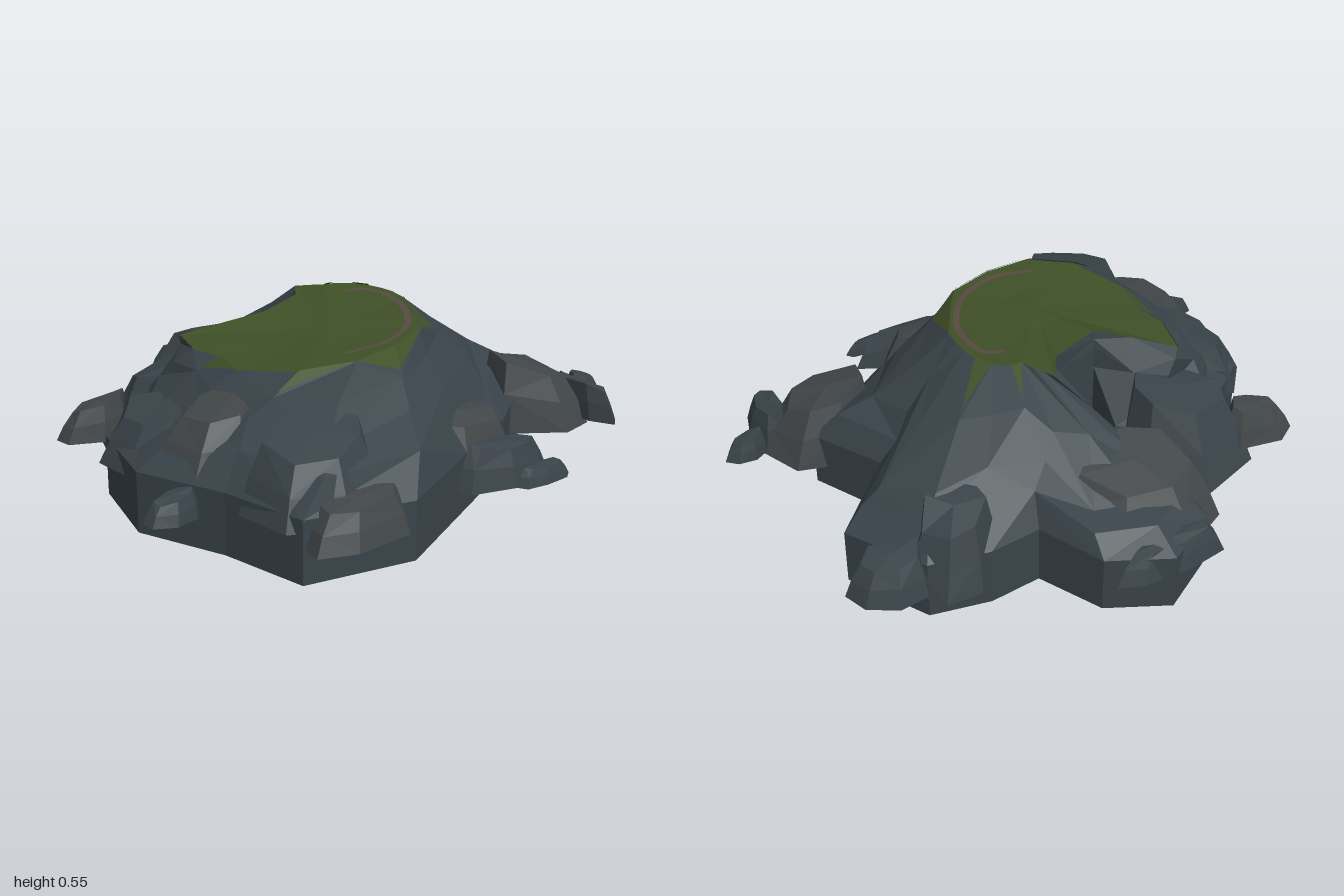
import * as THREE from 'three';

const mat = (color) => new THREE.MeshStandardMaterial({ color, flatShading: true, roughness: 1 });
const V = (x, y, z) => new THREE.Vector3(x, y, z);

// Small seeded noise in -1..1
function seeded(seed) {
  let s = seed;
  return () => {
    s = (s * 16807) % 2147483647;
    return (s / 2147483647) * 2 - 1;
  };
}

// Matching loops of x, z, height: shore cliff, shoulder and plateau rim
const CLIFF = [
  0, -0.2, 0.3, -0.1, -0.33, 0.22, -0.28, -0.5, 0.2, -0.2, -0.8, 0.19, 0, -0.92, 0.19, 0.2, -0.82, 0.19,
  0.3, -0.6, 0.2, 0.48, -0.62, 0.2, 0.68, -0.58, 0.2, 0.83, -0.3, 0.19, 0.58, -0.03, 0.2, 0.71, 0.24, 0.19,
  0.34, 0.52, 0.19, 0.02, 0.68, 0.19, -0.36, 0.87, 0.19, -0.72, 0.8, 0.2, -0.78, 0.5, 0.2, -0.9, 0.2, 0.2,
  -0.82, -0.13, 0.2, -0.55, -0.33, 0.2, -0.3, -0.3, 0.2, -0.2, -0.27, 0.22, -0.2, -0.12, 0.3,
];
const SHOULDER = [
  0, -0.2, 0.46, -0.02, -0.33, 0.37, -0.13, -0.52, 0.3, -0.13, -0.66, 0.27, 0, -0.72, 0.27, 0.15, -0.68, 0.27,
  0.22, -0.5, 0.37, 0.4, -0.45, 0.38, 0.58, -0.45, 0.35, 0.7, -0.29, 0.31, 0.47, -0.03, 0.37, 0.52, 0.14, 0.35,
  0.33, 0.34, 0.37, 0.04, 0.54, 0.37, -0.2, 0.65, 0.37, -0.55, 0.7, 0.33, -0.63, 0.41, 0.37, -0.68, 0.2, 0.34,
  -0.66, 0, 0.33, -0.57, -0.2, 0.34, -0.41, -0.27, 0.36, -0.3, -0.22, 0.38, -0.2, -0.12, 0.46,
];
const RIM = [
  0, -0.2, 0.53, 0.04, -0.26, 0.53, 0.07, -0.3, 0.53, 0.09, -0.27, 0.535, 0.11, -0.24, 0.54, 0.13, -0.2, 0.545,
  0.17, -0.2, 0.545, 0.22, -0.16, 0.545, 0.25, -0.1, 0.545, 0.26, -0.04, 0.545, 0.26, 0.02, 0.545, 0.25, 0.09, 0.54,
  0.15, 0.27, 0.53, 0.08, 0.38, 0.52, -0.1, 0.46, 0.51, -0.28, 0.49, 0.5, -0.44, 0.41, 0.48, -0.53, 0.2, 0.45,
  -0.49, 0.05, 0.45, -0.51, -0.08, 0.45, -0.46, -0.25, 0.45, -0.32, -0.17, 0.49, -0.2, -0.11, 0.52,
];
const loop = (a) => Array.from({ length: a.length / 3 }, (_, i) => V(a[i * 3], a[i * 3 + 2], a[i * 3 + 1]));

function faceted(points) {
  const g = new THREE.BufferGeometry().setFromPoints(points);
  g.computeVertexNormals();
  return g;
}

// Skin a stack of loops, lowest and outermost first; diagonals alternate
function skin(rings, extra = []) {
  const pts = [];
  for (let r = 0; r < rings.length - 1; r++) {
    const lo = rings[r], hi = rings[r + 1], n = lo.length;
    for (let i = 0; i < n; i++) {
      const j = (i + 1) % n;
      if ((i + r) % 2) pts.push(lo[i], hi[i], lo[j], hi[i], hi[j], lo[j]);
      else pts.push(lo[i], hi[i], hi[j], lo[i], hi[j], lo[j]);
    }
  }
  return faceted([...pts, ...extra]);
}

// Fill a loop with triangles facing down
function underside(ring) {
  const flat = ring.map((p) => new THREE.Vector2(p.x, p.z));
  return THREE.ShapeUtils.triangulateShape(flat, []).flatMap((f) => {
    const [a, b, c] = f.map((k) => ring[k]);
    const up = b.clone().sub(a).cross(c.clone().sub(a)).y > 0;
    return up ? [a, c, b] : [a, b, c];
  });
}

// Faceted boulder: flared foot, top leaning and rising towards the island's middle
function boulder([x, z, rx, rz, y0, y1, turn = 0], index) {
  const rnd = seeded(911 + index * 577), n = 7;
  for (let i = 0; i < 5; i++) rnd();
  const jit = Array.from({ length: n }, () => [1.04 + rnd() * 0.08, rnd() * 0.25]);
  const c = Math.cos(turn), s = Math.sin(turn);
  const inward = V(-0.1 - x, 0, 0.1 - z).normalize();
  const lean = Math.min(rx, rz) * 0.2, size = Math.max(rx, rz);
  const ring = (scale, t) => jit.map(([k, shift], i) => {
    const a = ((i + shift) / n) * Math.PI * 2;
    const px = Math.cos(a) * rx * scale * k, pz = Math.sin(a) * rz * scale * k;
    const dx = px * c - pz * s, dz = px * s + pz * c;
    const rise = (inward.x * dx + inward.z * dz) / size;
    const h = y0 + (y1 - y0) * t * (1 + 0.3 * rise + 0.06 * rnd());
    return V(x + dx + inward.x * lean * t, h, z + dz + inward.z * lean * t);
  });
  const foot = ring(1, 0), cap = ring(0.68, 0.94);
  const top = V(x + inward.x * lean, y0 + (y1 - y0) * 0.97, z + inward.z * lean);
  return skin([foot, ring(0.87, 0.5), cap, cap.map(() => top)], underside(foot));
}

export function createModel() {
  const group = new THREE.Group();
  const add = (name, geometry, material, parent = group) => {
    const m = new THREE.Mesh(geometry, material);
    m.name = name;
    parent.add(m);
    return m;
  };
  const stone = mat(0x394349), paleStone = mat(0x414648), grass = mat(0x3f5027), earth = mat(0x584a40);
  earth.side = THREE.DoubleSide;

  // Island body with craggy slopes below and above the shoulder
  const cliff = loop(CLIFF), shoulder = loop(SHOULDER), rim = loop(RIM);
  const foot = cliff.map((p) => V(p.x, 0, p.z));
  const rnd = seeded(4242);
  const between = (lower, upper, rough, lift) => lower.map((p, i) => {
    const q = p.clone().lerp(upper[i], 0.5);
    const notch = i < 2 || i > 20;
    return notch ? q : q.add(V(rnd() * rough, lift + rnd() * rough, rnd() * rough));
  });
  const slope = between(cliff, shoulder, 0.022, 0.008);
  const crag = between(shoulder, rim, 0.018, 0.006);
  add('islandRock', skin([foot, cliff, slope, shoulder, crag, rim], underside(foot)), stone);

  // Grassy plateau, slightly sunk in the middle
  const mid = V(-0.12, 0.51, 0.15);
  const inset = (t, drop) => rim.map((p) => {
    const q = p.clone().lerp(mid, t);
    q.y -= drop;
    return q;
  });
  const meadow = add('grassPlateau', skin([rim, inset(0.25, 0.003), inset(0.6, 0.006), rim.map(() => mid)]), grass);

  // Ragged grass tongues lying on the crags just below the rim
  const lift = V(0, 0.004, 0);
  const tongues = [5, 7, 11, 12, 13, 14, 15, 17, 19].flatMap((i) => {
    const a = rim[i], b = rim[i + 1];
    const tip = i % 2 ? b.clone().lerp(crag[i + 1], 0.8) : a.clone().lerp(crag[i], 0.8);
    return [a, b, tip].map((p) => p.clone().add(lift));
  });
  const tongueMaterial = grass.clone();
  tongueMaterial.side = THREE.DoubleSide;
  add('grassTongues', faceted(tongues), tongueMaterial);

  // Footpath ribbon laid on the plateau
  const route = new THREE.CatmullRomCurve3([
    V(0.14, 0, -0.1), V(0.2, 0, -0.08), V(0.22, 0, 0.03), V(0.18, 0, 0.17),
    V(0.06, 0, 0.33), V(-0.1, 0, 0.41), V(-0.25, 0, 0.4),
  ]);
  meadow.updateMatrixWorld();
  const ray = new THREE.Raycaster();
  const drape = (p) => {
    ray.set(V(p.x, 2, p.z), V(0, -1, 0));
    const hit = ray.intersectObject(meadow)[0];
    return V(p.x, (hit ? hit.point.y : 0.51) + 0.004, p.z);
  };
  const strip = [], steps = 36;
  let last = null;
  for (let i = 0; i <= steps; i++) {
    const p = route.getPoint(i / steps), t = route.getTangent(i / steps);
    const side = V(-t.z, 0, t.x).normalize().multiplyScalar(0.011);
    const pair = [drape(p.clone().add(side)), drape(p.clone().sub(side))];
    if (last) strip.push(last[0], pair[0], last[1], last[1], pair[0], pair[1]);
    last = pair;
  }
  add('footpath', faceted(strip), earth);

  // Boulders: x, z, half width, half depth, bottom, top, turn
  const boulders = new THREE.Group();
  boulders.name = 'boulders';
  group.add(boulders);
  [
    // Back spur
    [-0.05, -0.64, 0.28, 0.19, 0.12, 0.35], [-0.03, -0.86, 0.2, 0.05, 0.11, 0.22],
    // Back right corner
    [-0.44, -0.34, 0.25, 0.2, 0.04, 0.35, 0.2], [-0.71, -0.41, 0.14, 0.085, 0.1, 0.23],
    // Back left corner
    [0.57, -0.53, 0.15, 0.14, 0.09, 0.34], [0.78, -0.52, 0.14, 0.09, 0.1, 0.24, 0.3],
    // Front left cluster
    [0.64, 0.36, 0.2, 0.18, 0.08, 0.31], [0.79, 0.47, 0.06, 0.15, 0.1, 0.23],
    [0.92, 0.35, 0.08, 0.05, 0.12, 0.2],
    // Front steps
    [0.09, 0.6, 0.21, 0.12, 0.08, 0.3], [0.14, 0.73, 0.18, 0.06, 0.08, 0.22],
    [0.23, 0.82, 0.11, 0.035, 0.09, 0.15],
    // Front right corner
    [-0.55, 0.84, 0.18, 0.08, 0.11, 0.24], [-0.58, 0.66, 0.21, 0.17, 0.15, 0.38],
    // Right side ledges
    [-0.91, 0.42, 0.09, 0.05, 0.12, 0.2], [-0.63, 0.29, 0.22, 0.16, 0.2, 0.41],
    [-0.72, 0, 0.16, 0.2, 0.14, 0.33],
  ].forEach((b, i) => add('boulder' + (i + 1), boulder(b, i), i % 3 ? stone : paleStone, boulders));

  return group;
}
